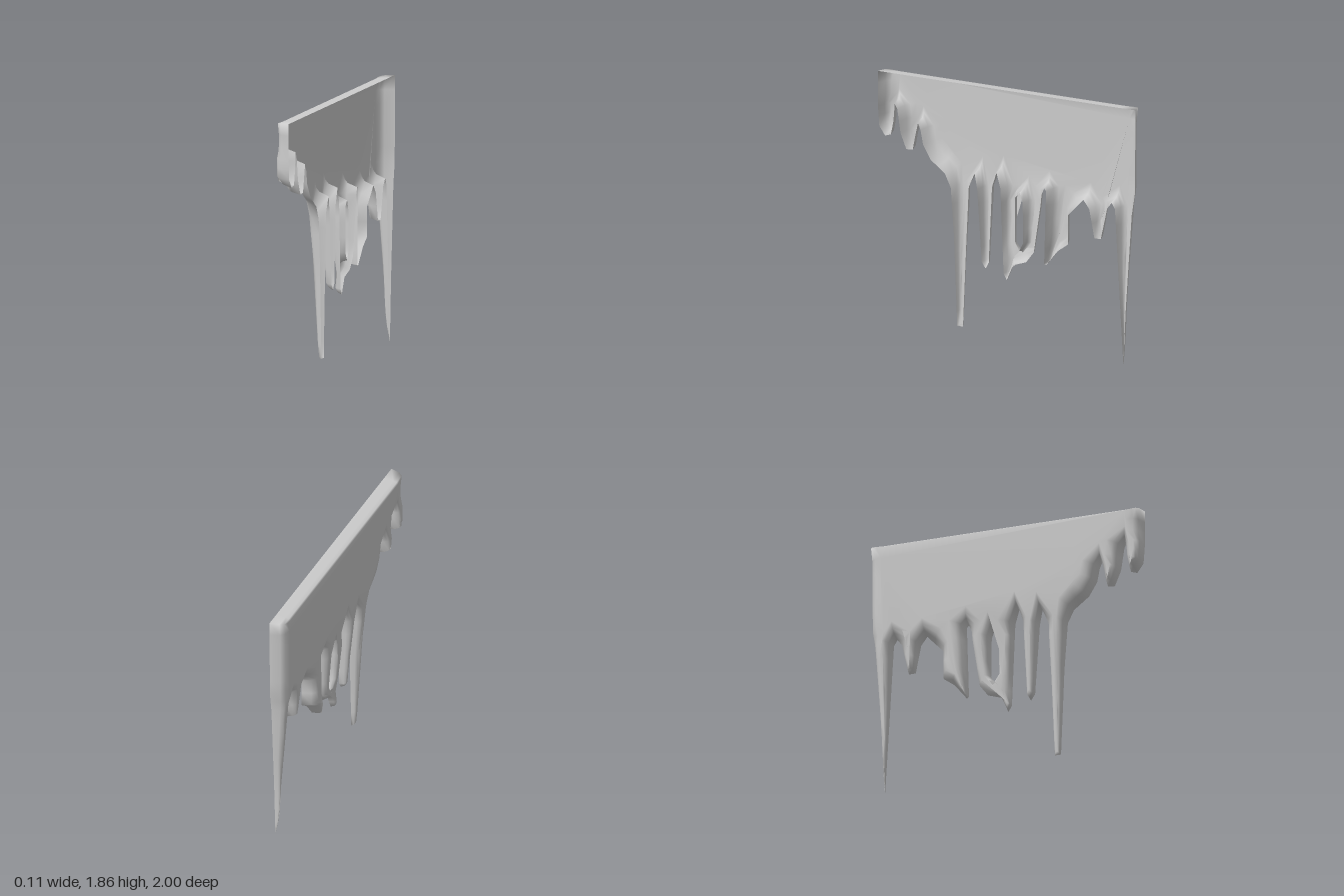
import * as THREE from 'three';

const TOP = 1.855, RIM = 0.05, FACE = -0.055;

// Lower edge as [z, y], from the +z end to the -z end
const shortDrips = [
  [1, TOP], [1, 1.6], [0.99, 1.46], [0.945, 1.395], [0.9, 1.41], [0.88, 1.51], [0.87, 1.635], [0.85, 1.6],
  [0.825, 1.43], [0.78, 1.32], [0.73, 1.325], [0.71, 1.43], [0.69, 1.52], [0.67, 1.475], [0.65, 1.37],
  [0.59, 1.27], [0.48, 1.185],
];
const longDrips = [
  [0.435, 1.09], [0.41, 0.74], [0.385, 0.1], [0.34, 0.1], [0.315, 0.69], [0.295, 1.115], [0.25, 1.22],
  [0.23, 1.11], [0.195, 0.59], [0.165, 0.545], [0.14, 0.59], [0.115, 1.14], [0.08, 1.25], [0.05, 1.14],
  [0.025, 0.53], [0, 0.485], [-0.05, 0.6], [-0.15, 0.635], [-0.21, 0.715], [-0.262, 1.06], [-0.27, 1.14],
];
const endDrips = [
  [-0.29, 1.19], [-0.305, 1.17], [-0.29, 0.645], [-0.305, 0.635], [-0.395, 0.75], [-0.475, 0.81],
  [-0.475, 1.02], [-0.595, 1.15], [-0.64, 1.09], [-0.68, 0.885], [-0.73, 0.885], [-0.78, 1.115],
  [-0.815, 1.16], [-0.84, 1.115], [-0.88, 0.42], [-0.905, 0], [-0.925, 0.42], [-0.97, 1.09],
  [-0.995, 1.25], [-1, TOP],
];
const loopHole = [
  [-0.065, 1.09], [-0.065, 0.77], [-0.097, 0.71], [-0.127, 0.77], [-0.123, 1.06], [-0.1, 1.13],
];

// Closed loop with long edges split, so that depth can vary along them
function splitLoop(points) {
  const out = [];
  points.forEach(([z, y], i) => {
    const a = new THREE.Vector2(z, y);
    const b = new THREE.Vector2(...points[(i + 1) % points.length]);
    const n = Math.ceil(a.distanceTo(b) / 0.12);
    for (let k = 0; k < n; k++) out.push(a.clone().lerp(b, k / n));
  });
  return out;
}

// Outer face position: full on the slab, thinning down the drips
function faceX(z, y) {
  const wideDrip = z < -0.28 && z > -0.5;
  const steps = wideDrip
    ? [[1.25, FACE], [0.75, -0.047], [0.64, -0.02]]
    : [[1.25, FACE], [0.65, 0], [0.15, 0.02], [0, 0.048]];
  if (y >= steps[0][0]) return FACE;
  for (let i = 1; i < steps.length; i++) {
    const [y0, x0] = steps[i - 1], [y1, x1] = steps[i];
    if (y >= y1) return THREE.MathUtils.mapLinear(y, y0, y1, x0, x1);
  }
  return steps[steps.length - 1][1];
}

// Distance from p along direction d to the nearest edge of any loop
function reach(p, d, loops) {
  let best = 2;
  for (const loop of loops) {
    loop.forEach((a, i) => {
      const e = loop[(i + 1) % loop.length].clone().sub(a);
      const den = d.cross(e);
      if (Math.abs(den) < 1e-9) return;
      const ap = a.clone().sub(p);
      const t = ap.cross(e) / den, s = ap.cross(d) / den;
      if (t > 1e-4 && s >= 0 && s <= 1) best = Math.min(best, t);
    });
  }
  return best;
}

// Inward direction and allowed inset at each point of a loop
function insetRule(loop, loops) {
  return loop.map((p, i) => {
    const n = loop.length;
    const u = p.clone().sub(loop[(i + n - 1) % n]).normalize();
    const v = loop[(i + 1) % n].clone().sub(p).normalize();
    const dir = new THREE.Vector2(-u.y - v.y, u.x + v.x).multiplyScalar(0.5);
    const sharp = u.cross(v) > 0 ? Math.min(1, dir.length() * 1.3) : 1;
    dir.normalize();
    return { dir, sharp, hit: reach(p, dir, loops) };
  });
}

function shellGeometry(loops) {
  const positions = [], index = [], faceLoops = [], faceIds = [];
  // Rounded walls: each ring is [inset, share of gap, share of depth]
  const rings = [[0, 0, 0], [0.025, 0.12, 0.65], [0.055, 0.24, 0.9], [0.1, 0.37, 1]];
  for (const loop of loops) {
    const rule = insetRule(loop, loops), n = loop.length;
    rings.forEach(([inset, share, depth], r) => {
      const start = positions.length / 3, flat = [];
      loop.forEach((p, i) => {
        const { dir, sharp, hit } = rule[i];
        const w = Math.min(inset, share * hit) * sharp;
        const q = new THREE.Vector2(p.x + dir.x * w, p.y + dir.y * w * (p.y > TOP - 0.01 ? 0.2 : 1));
        positions.push(RIM + (faceX(q.x, q.y) - RIM) * depth, q.y, q.x);
        flat.push(q);
        if (r > 0) {
          const j = (i + 1) % n, a = start - n + i, b = start - n + j;
          index.push(a, b, start + j, a, start + j, start + i);
        }
      });
      if (r === rings.length - 1) {
        faceLoops.push(flat);
        flat.forEach((_, i) => faceIds.push(start + i));
      }
    });
  }
  // Broad outer face
  const flat = faceLoops.flat();
  for (const [a, b, c] of THREE.ShapeUtils.triangulateShape(faceLoops[0], faceLoops.slice(1))) {
    const ccw = flat[b].clone().sub(flat[a]).cross(flat[c].clone().sub(flat[a])) > 0;
    index.push(faceIds[a], faceIds[ccw ? b : c], faceIds[ccw ? c : b]);
  }
  const g = new THREE.BufferGeometry();
  g.setAttribute('position', new THREE.Float32BufferAttribute(positions, 3));
  g.setIndex(index);
  g.computeVertexNormals();
  return g;
}

export function createModel() {
  const group = new THREE.Group();
  group.name = 'icicleTrim';
  const grey = new THREE.MeshStandardMaterial({ color: 0xcccccc, side: THREE.DoubleSide });
  grey.name = 'pale grey';

  // Hollow slab with hanging drips, open on the +x side
  const outline = splitLoop([...shortDrips, ...longDrips, ...endDrips].reverse());
  const hole = splitLoop([...loopHole].reverse());
  if (THREE.ShapeUtils.area(outline) < 0) outline.reverse();
  if (THREE.ShapeUtils.area(hole) > 0) hole.reverse();
  const shell = new THREE.Mesh(shellGeometry([outline, hole]), grey);
  shell.name = 'icicleShell';
  group.add(shell);
  return group;
}
